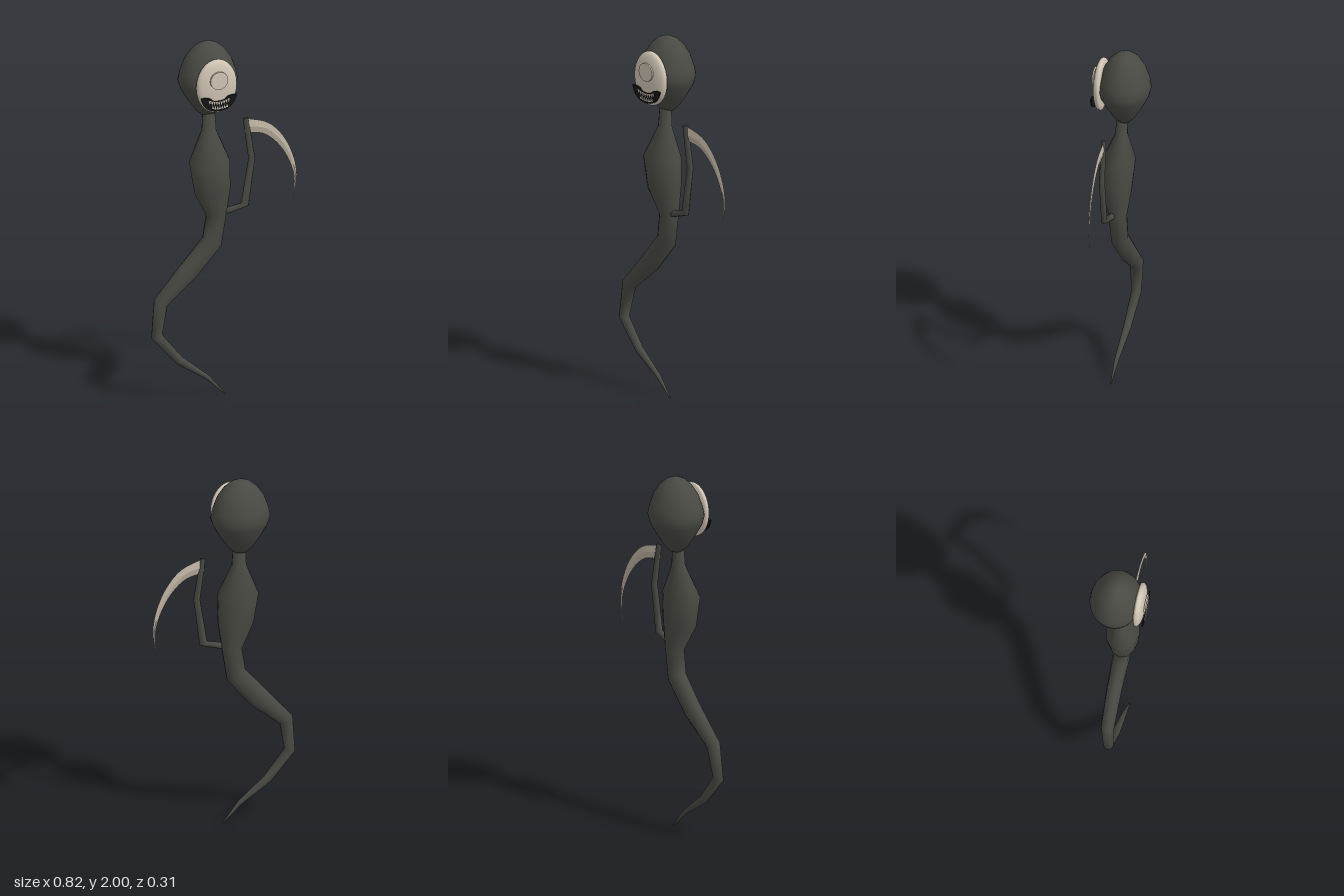
import * as THREE from 'three';
import { mergeVertices } from 'three/addons/utils/BufferGeometryUtils.js';

const CX = -0.078; // axis of the head and mask

function makeMaterial(name, color, extra = {}) {
  const m = new THREE.MeshStandardMaterial({ color, ...extra });
  m.name = name;
  return m;
}

// Skin of elliptical rings: each row is [x, y, z, radius across, radius in z]
function loft(rows, sides) {
  const pos = [], index = [];
  const first = rows[0], last = rows[rows.length - 1];
  const rings = [[...first.slice(0, 3), 0, 0], ...rows, [...last.slice(0, 3), 0, 0]];
  rings.forEach(([x, y, z, r, rz], i) => {
    const k = Math.min(Math.max(i - 1, 0), rows.length - 1);
    const a = rows[Math.max(k - 1, 0)], b = rows[Math.min(k + 1, rows.length - 1)];
    const t = new THREE.Vector2(b[0] - a[0], b[1] - a[1]).normalize();
    for (let j = 0; j < sides; j++) {
      const ang = (j / sides) * Math.PI * 2;
      const c = Math.cos(ang) * r;
      pos.push(x + t.y * c, y - t.x * c, z + Math.sin(ang) * rz);
    }
  });
  for (let i = 0; i < rings.length - 1; i++) {
    for (let j = 0; j < sides; j++) {
      const a = i * sides + j, b = i * sides + ((j + 1) % sides);
      index.push(a, a + sides, b, b, a + sides, b + sides);
    }
  }
  const g = new THREE.BufferGeometry();
  g.setAttribute('position', new THREE.Float32BufferAttribute(pos, 3));
  g.setIndex(index);
  g.computeVertexNormals();
  return g;
}

export function createModel() {
  const model = new THREE.Group();
  const dark = makeMaterial('charcoal skin', 0x4a4a44);
  const bone = makeMaterial('pale mask', 0xd2c7b6);
  const steel = makeMaterial('bone blade', 0xbdb3a1, { flatShading: true });
  const black = makeMaterial('black mouth', 0x141414);

  const add = (name, geometry, material) => {
    const mesh = new THREE.Mesh(geometry, material);
    mesh.name = name;
    model.add(mesh);
    return mesh;
  };

  // Torso and winding tail, from the tip up to the neck
  add('bodyAndTail', loft([
    [0.000, 0.002, 0.04, 0.003, 0.003],
    [-0.098, 0.106, 0.033, 0.013, 0.013],
    [-0.254, 0.22, 0.02, 0.024, 0.022],
    [-0.379, 0.37, 0.007, 0.031, 0.028],
    [-0.352, 0.556, -0.003, 0.041, 0.036],
    [-0.19, 0.715, -0.002, 0.058, 0.041],
    [-0.063, 0.865, 0.008, 0.058, 0.046],
    [-0.040, 1.02, 0.012, 0.056, 0.049],
    [-0.066, 1.17, 0.022, 0.103, 0.078],
    [-0.082, 1.33, 0.02, 0.114, 0.091],
    [-0.078, 1.50, 0.003, 0.041, 0.034],
    [-0.078, 1.62, 0.0, 0.034, 0.028],
  ], 12), dark);

  // Egg-shaped head
  const profile = [
    [0, 1.58], [0.035, 1.587], [0.068, 1.618], [0.112, 1.68], [0.15, 1.745], [0.163, 1.79],
    [0.154, 1.835], [0.13, 1.9], [0.095, 1.952], [0.055, 1.985], [0.025, 1.997], [0, 2.0],
  ].map(([r, y]) => new THREE.Vector2(r, y));
  const head = add('head', new THREE.LatheGeometry(profile, 32), dark);
  head.scale.z = 0.141 / 0.163;
  head.position.set(CX, 0, -0.015);

  // Rounded, flattened mask on the face
  let mask = new THREE.SphereGeometry(1, 40, 28);
  const p = mask.attributes.position;
  for (let i = 0; i < p.count; i++) {
    const z = p.getZ(i);
    const bulge = Math.pow(Math.abs(z), 0.75) * (z > 0 ? 0.038 : -0.02);
    p.setXYZ(i, p.getX(i) * 0.115, p.getY(i) * 0.15, bulge);
  }
  mask.deleteAttribute('uv');
  mask.deleteAttribute('normal');
  mask = mergeVertices(mask, 1e-5);
  mask.computeVertexNormals();
  add('mask', mask, bone).position.set(CX, 1.79, 0.108);

  // Single round eye disc
  const eye = add('eye', new THREE.CylinderGeometry(0.05, 0.05, 0.009, 32), bone);
  eye.rotation.x = Math.PI / 2;
  eye.position.set(CX, 1.832, 0.1485);

  // Wide grinning mouth plate
  const grin = new THREE.Shape();
  grin.moveTo(-0.102, 1.742);
  grin.quadraticCurveTo(-0.05, 1.748, -0.035, 1.722);
  grin.quadraticCurveTo(0, 1.712, 0.035, 1.722);
  grin.quadraticCurveTo(0.05, 1.748, 0.102, 1.742);
  grin.quadraticCurveTo(0.085, 1.66, 0, 1.66);
  grin.quadraticCurveTo(-0.085, 1.66, -0.102, 1.742);
  add('mouth', new THREE.ExtrudeGeometry(grin, { depth: 0.007, bevelEnabled: false, curveSegments: 10 }), black)
    .position.set(CX, 0, 0.141);

  // Two rows of small pointed teeth
  const tooth = (x, y, h) => new THREE.Shape([
    new THREE.Vector2(x - 0.0065, y), new THREE.Vector2(x, y + h), new THREE.Vector2(x + 0.0065, y),
  ]);
  const teeth = [];
  for (let i = -4; i <= 4; i++) {
    const x = i * 0.0135, lift = x * x * 4;
    teeth.push(tooth(x, 1.713 + lift, -0.021));
    if (Math.abs(i) < 4) teeth.push(tooth(x + 0.004, 1.671 + lift, 0.02));
  }
  add('teeth', new THREE.ExtrudeGeometry(teeth, { depth: 0.003, bevelEnabled: false }), bone)
    .position.set(CX, 0, 0.1475);

  // Thin bent arm
  add('arm', loft([
    [-0.02, 1.03, 0.025, 0.018, 0.018],
    [0.03, 1.042, 0.033, 0.018, 0.018],
    [0.112, 1.066, 0.044, 0.024, 0.017],
    [0.15, 1.325, 0.046, 0.019, 0.016],
    [0.115, 1.553, 0.046, 0.016, 0.014],
  ], 8), dark);

  // Curved sickle blade narrowing to a point
  const sweep = new THREE.CatmullRomCurve3([
    [0.112, 1.514], [0.23, 1.483], [0.312, 1.409], [0.371, 1.306], [0.401, 1.192], [0.391, 1.049],
  ].map(([x, y]) => new THREE.Vector3(x, y, 0.045)));
  const blade = sweep.getPoints(20).map((v, i) => {
    const w = 1 - i / 20;
    return [v.x, v.y, v.z, 0.04 * w + 0.0005, 0.006 * w + 0.002];
  });
  add('blade', loft(blade, 4), steel);

  return model;
}
